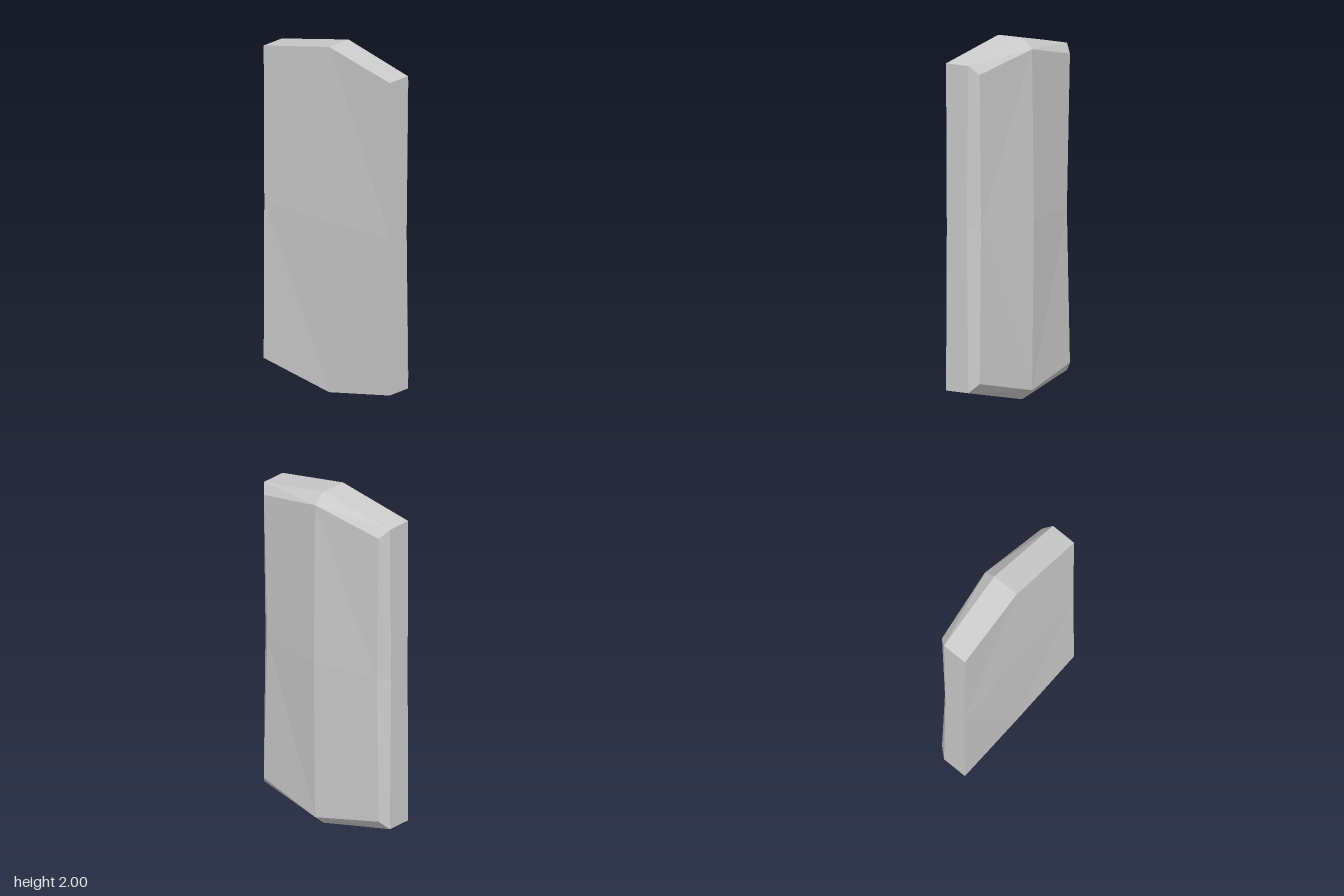
import * as THREE from 'three';

// Rings from front to back: top middle (T), upper corner (C), side middle (M).
// Heights are measured from the centre of the slab.
const P = {
  T0: [0, 1, 0.11], C0: [0.457, 0.905, 0.13], M0: [0.457, 0, 0.125],
  T1: [0, 1, -0.05], C1: [0.457, 0.905, -0.02], M1: [0.457, 0, -0.01],
  T2: [0, 0.943, -0.117], C2: [0.418, 0.855, -0.068], M2: [0.398, 0, -0.062],
  F: [0, 0, 0.125], B: [0, 0, -0.13],
};

// Faces of one quarter, counter-clockwise from outside
const QUARTER = [
  'T0 M0 C0', 'F M0 T0',    // front
  'M0 M1 C1', 'M0 C1 C0',   // side wall
  'C0 C1 T1', 'C0 T1 T0',   // top wall
  'M1 M2 C2', 'M1 C2 C1',   // side bevel
  'C1 C2 T2', 'C1 T2 T1',   // top bevel
  'T2 C2 M2', 'B T2 M2',    // domed back
].map((face) => face.split(' '));

export function createModel() {
  const positions = [];
  // Mirror the quarter left/right and up/down
  for (const sx of [1, -1]) {
    for (const sy of [1, -1]) {
      for (const face of QUARTER) {
        const order = sx * sy > 0 ? face : [...face].reverse();
        for (const key of order) {
          const [x, y, z] = P[key];
          positions.push(sx * x, 1 + sy * y, z);
        }
      }
    }
  }

  const geometry = new THREE.BufferGeometry();
  geometry.setAttribute('position', new THREE.Float32BufferAttribute(positions, 3));
  geometry.computeVertexNormals();

  const slab = new THREE.Mesh(
    geometry,
    new THREE.MeshStandardMaterial({ color: 0xcccccc, flatShading: true })
  );
  slab.name = 'bevelledSlab';

  const group = new THREE.Group();
  group.name = 'slabPanel';
  group.add(slab);
  return group;
}
